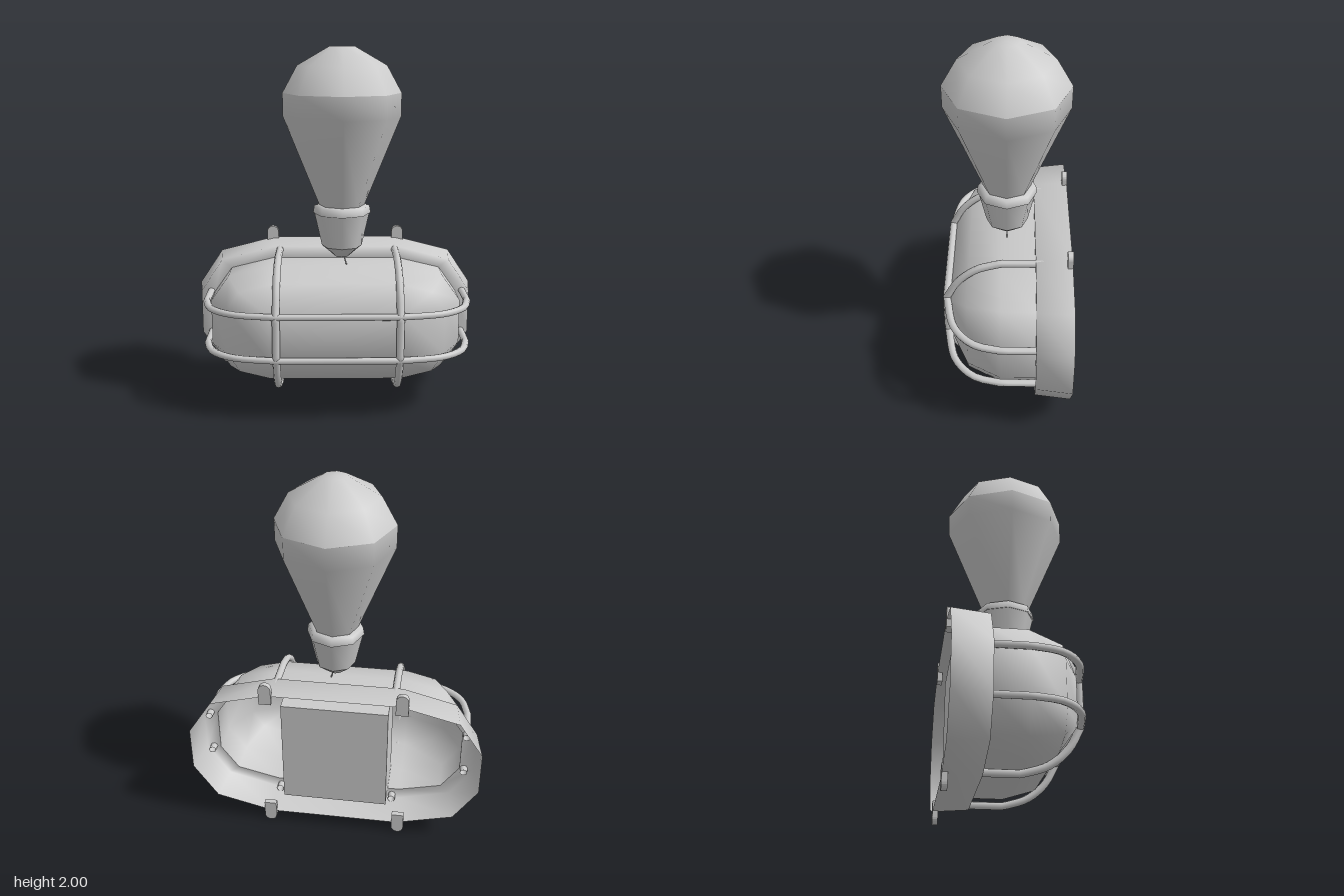
import * as THREE from 'three';
import { mergeVertices } from 'three/addons/utils/BufferGeometryUtils.js';

const CY = 0.475; // height of the lamp's centre line

export function createModel() {
  const group = new THREE.Group();
  const solid = new THREE.MeshStandardMaterial({ color: 0xcccccc });
  const sheet = new THREE.MeshStandardMaterial({ color: 0xcccccc, side: THREE.DoubleSide });

  const add = (name, geometry, material = solid, x = 0, y = 0, z = 0) => {
    const mesh = new THREE.Mesh(geometry, material);
    mesh.name = name;
    mesh.position.set(x, y, z);
    group.add(mesh);
    return mesh;
  };

  // Loft through 12-sided rounded rectangles: [z, corner rx, corner ry, core scale]
  const loft = (loops) => {
    const pos = [], index = [], n = 12;
    for (const [z, rx, ry, core = 1] of loops) {
      for (let q = 0; q < 4; q++) {
        const sx = q === 0 || q === 3 ? 1 : -1, sy = q < 2 ? 1 : -1;
        for (let k = 0; k < 3; k++) {
          const a = (q * 2 + k) * Math.PI / 4;
          pos.push(sx * 0.36 * core + rx * Math.cos(a), CY + sy * 0.125 * core + ry * Math.sin(a), z);
        }
      }
    }
    for (let i = 0; i < loops.length - 1; i++) {
      for (let j = 0; j < n; j++) {
        const a = i * n + j, b = i * n + (j + 1) % n;
        index.push(a, b, b + n, a, b + n, a + n);
      }
    }
    const g = new THREE.BufferGeometry();
    g.setAttribute('position', new THREE.Float32BufferAttribute(pos, 3));
    g.setIndex(index);
    const merged = mergeVertices(g, 1e-4);
    merged.computeVertexNormals();
    return merged;
  };

  // Flared base ring, open at the back, with an opening for the cover
  add('baseRing', loft([[-0.353, 0.45, 0.28], [-0.157, 0.42, 0.265], [-0.157, 0.34, 0.2]]), sheet);

  // Domed cover
  add('cover', loft([
    [-0.157, 0.34, 0.2], [0.03, 0.34, 0.2], [0.21, 0.235, 0.145],
    [0.31, 0, 0], [0.31, 0, 0, 0],
  ]), sheet);

  // Inner housing seen through the open back
  add('innerHousing', new THREE.BoxGeometry(0.59, 0.63, 0.34), solid, 0, CY, -0.14);

  // Guard bars: half a path mirrored to the other side, as [across, z]
  const guardPath = (half, toPoint) => {
    const all = [...half.map(([u, z]) => toPoint(u, z)),
      ...half.slice().reverse().map(([u, z]) => toPoint(-u, z))];
    const path = new THREE.CurvePath();
    // Straight legs and front, curved shoulders
    const n = half.length;
    path.add(new THREE.LineCurve3(all[0], all[1]));
    path.add(new THREE.CatmullRomCurve3(all.slice(1, n)));
    path.add(new THREE.LineCurve3(all[n - 1], all[n]));
    path.add(new THREE.CatmullRomCurve3(all.slice(n, 2 * n - 1)));
    path.add(new THREE.LineCurve3(all[2 * n - 2], all[2 * n - 1]));
    return path;
  };
  const bar = (path) => new THREE.TubeGeometry(path, 48, 0.021, 8, false);

  const upright = [[0.37, -0.2], [0.37, 0.03], [0.325, 0.165], [0.24, 0.265], [0.125, 0.33]];
  for (const x of [-0.32, 0.343]) {
    add('verticalGuardBar', bar(guardPath(upright, (u, z) => new THREE.Vector3(0, u, z))), sheet, x, CY + 0.003, 0);
  }
  const level = [[0.732, -0.2], [0.732, 0.03], [0.69, 0.17], [0.57, 0.275], [0.33, 0.33]];
  for (const y of [0.355, 0.6]) {
    const mesh = add('horizontalGuardBar',
      bar(guardPath(level, (u, z) => new THREE.Vector3(u, 0, z))), sheet, 0.008, y, 0);
    mesh.scale.y = 0.88;
  }

  // Rounded mounting tabs on the back edge
  const tab = new THREE.Shape();
  tab.moveTo(-0.034, -0.04);
  tab.lineTo(0.034, -0.04);
  tab.lineTo(0.034, 0.05);
  tab.absarc(0, 0.05, 0.034, 0, Math.PI, false);
  tab.closePath();
  const tabGeo = new THREE.ExtrudeGeometry(tab, { depth: 0.03, bevelEnabled: false, curveSegments: 5 });
  for (const x of [-0.37, 0.37]) {
    add('mountingTab', tabGeo, solid, x, 0.865, -0.354);
    const lower = add('mountingTab', tabGeo, solid, x, 0.086, -0.324);
    lower.rotation.x = Math.PI;
  }

  // Eight-sided bulb standing above the lamp, profiles from bottom to top
  const lathe = (name, points) => {
    const g = new THREE.LatheGeometry(points.map(([r, y]) => new THREE.Vector2(r, y)), 8);
    add(name, g, sheet, 0.035, 0, 0).scale.x = 0.965;
  };
  lathe('bulbTip', [[0, 0.85], [0.04, 0.853], [0.115, 0.915]]);
  lathe('bulbSocket', [[0.115, 0.915], [0.158, 1.1]]);
  lathe('bulbCollar', [[0.158, 1.1], [0.165, 1.1], [0.158, 1.14], [0.125, 1.147]]);
  lathe('bulbBody', [[0.13, 1.145], [0.332, 1.63], [0.333, 1.755]]);
  lathe('bulbDome', [[0.333, 1.755], [0.25, 1.9], [0.07, 2], [0, 2]]);

  // Thin contact wire under the bulb
  const wire = new THREE.LineCurve3(new THREE.Vector3(0.045, 0.86, 0), new THREE.Vector3(0.062, 0.8, 0));
  add('contactWire', new THREE.TubeGeometry(wire, 1, 0.004, 5), sheet);

  return group;
}
